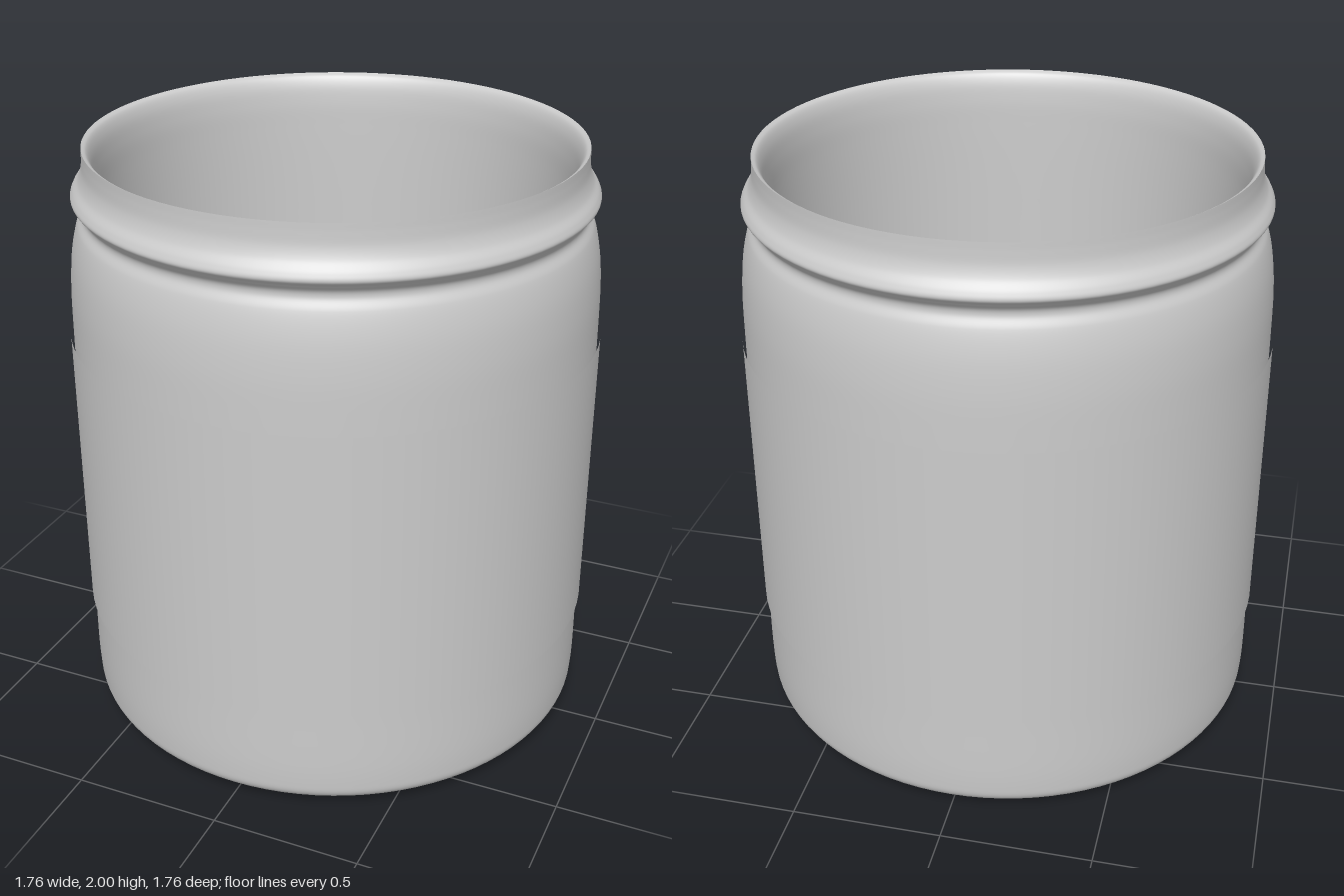
import * as THREE from 'three';

const SEGMENTS = 96;

// Smooth curve through [radius, height] pairs, sampled for a lathe
function smoothProfile(pairs, samples) {
  const curve = new THREE.CatmullRomCurve3(
    pairs.map(([r, y]) => new THREE.Vector3(r, y, 0)), false, 'centripetal');
  return curve.getPoints(samples).map((p) => new THREE.Vector2(Math.max(p.x, 0), p.y));
}

function lathePart(name, points, material) {
  const mesh = new THREE.Mesh(new THREE.LatheGeometry(points, SEGMENTS), material);
  mesh.name = name;
  return mesh;
}

export function createModel() {
  const jar = new THREE.Group();
  jar.name = 'jar';
  const material = new THREE.MeshStandardMaterial({ color: 0xcccccc });

  // Outer wall: shallow base, rounded foot, straight body, shoulder, neck bead, rim
  const outer = smoothProfile([
    [0, 0], [0.4, 0.006], [0.7, 0.015], [0.8, 0.023], [0.84, 0.035],
    [0.863, 0.06], [0.87, 0.11], [0.871, 0.4], [0.872, 1.0], [0.871, 1.4],
    [0.867, 1.56], [0.855, 1.67], [0.835, 1.75], [0.818, 1.785], [0.819, 1.803],
    [0.835, 1.825], [0.849, 1.844], [0.842, 1.865], [0.822, 1.895],
    [0.81, 1.93], [0.806, 1.97], [0.805, 2.0],
  ], 140);
  jar.add(lathePart('outerWall', outer, material));

  // Inner wall: eased lip, straight bore, rounded corner and flat floor
  const inner = smoothProfile([
    [0.805, 2.0], [0.79, 1.99], [0.776, 1.96], [0.767, 1.9], [0.764, 1.8],
    [0.762, 1.4], [0.76, 0.8], [0.758, 0.3], [0.75, 0.18], [0.725, 0.105],
    [0.68, 0.07], [0.6, 0.056], [0.35, 0.052], [0, 0.05],
  ], 110);
  jar.add(lathePart('innerWall', inner, material));

  // Open label band wrapped around the body
  const band = [new THREE.Vector2(0.881, 0.388), new THREE.Vector2(0.881, 1.379)];
  jar.add(lathePart('labelBand', band, material));

  return jar;
}
